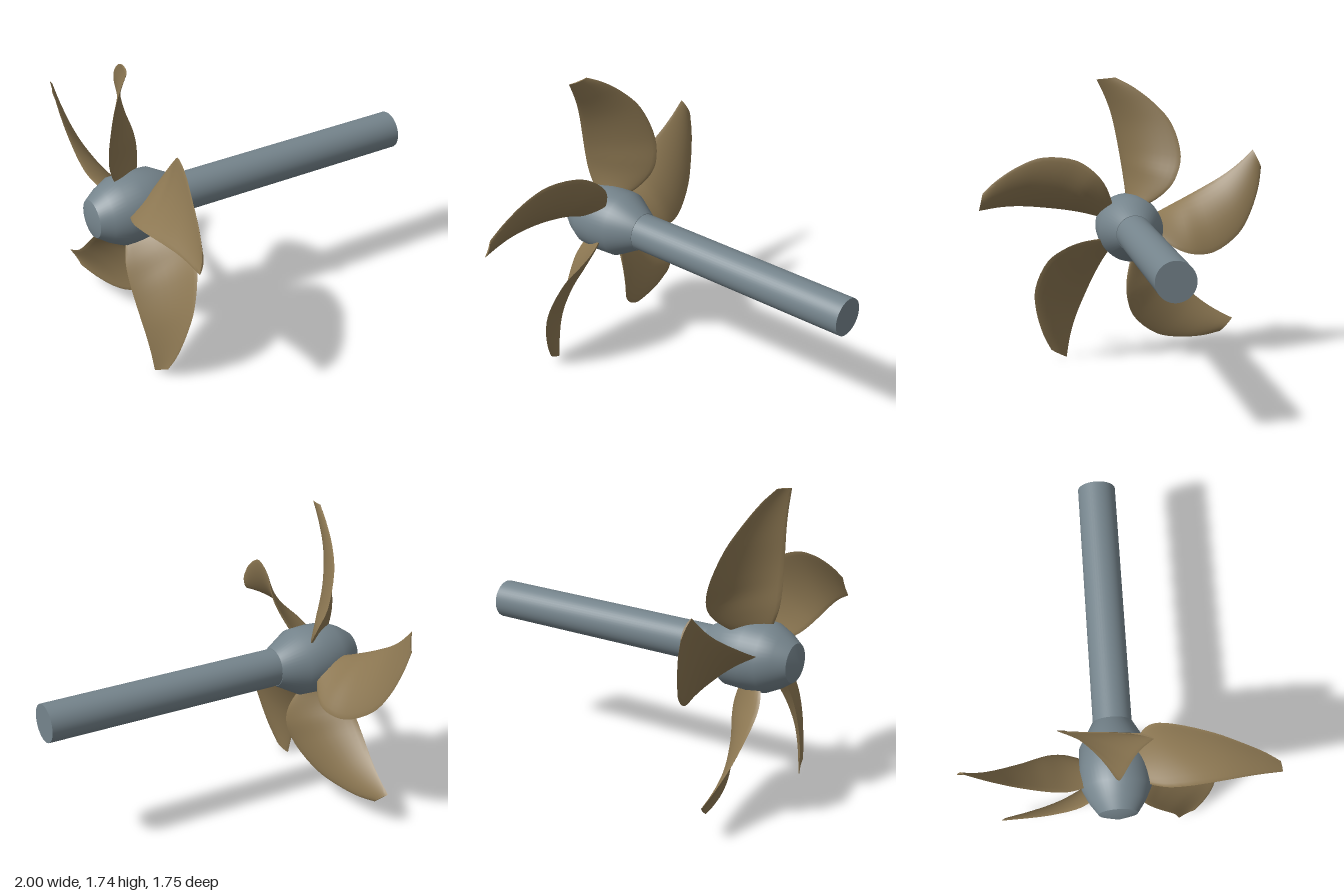
import * as THREE from 'three';
import { toCreasedNormals } from 'three/addons/utils/BufferGeometryUtils.js';

const AXIS_Y = 0.833, AXIS_Z = -0.03, BLADES = 5;

// Edge curves of the upright blade, [x, height above axis, z], root to tip
const edge = (pts) => new THREE.CatmullRomCurve3(pts.map((p) => new THREE.Vector3(...p)));
const trailing = edge([
  [-0.79, 0.12, 0], [-0.83, 0.2, 0.005], [-0.855, 0.29, 0.015], [-0.86, 0.39, 0.03], [-0.855, 0.5, 0.05],
  [-0.845, 0.62, 0.075], [-0.835, 0.71, 0.1], [-0.825, 0.8, 0.135], [-0.815, 0.897, 0.183],
]);
const leading = edge([
  [-0.67, 0.12, -0.06], [-0.61, 0.18, -0.15], [-0.575, 0.245, -0.22], [-0.57, 0.316, -0.267], [-0.605, 0.443, -0.304],
  [-0.67, 0.635, -0.258], [-0.715, 0.752, -0.164], [-0.755, 0.855, -0.033], [-0.785, 0.91, 0.07],
]);

// Lens-shaped, cambered sections lofted between the two edges
function bladeGeometry(rows = 32, ring = 24) {
  const pos = [], index = [];
  for (let i = 0; i <= rows; i++) {
    const t = i / rows;
    const a = trailing.getPoint(t), b = leading.getPoint(t);
    const chord = b.clone().sub(a);
    const span = trailing.getTangent(t).add(leading.getTangent(t));
    span.set(0, 1, 0).lerp(span.normalize(), 0.3);
    const normal = chord.clone().cross(span).normalize();
    const half = THREE.MathUtils.lerp(0.016, 0.005, t);
    const camber = 0.07 * chord.length();
    for (let j = 0; j < ring; j++) {
      const phi = (j / ring) * Math.PI * 2;
      const u = (1 - Math.cos(phi)) / 2;
      const p = a.clone().addScaledVector(chord, u)
        .addScaledVector(normal, half * Math.sin(phi) + camber * 4 * u * (1 - u));
      pos.push(p.x, p.y, p.z);
    }
  }
  for (let i = 0; i < rows; i++) {
    for (let j = 0; j < ring; j++) {
      const k = (j + 1) % ring;
      const p = i * ring + j, q = i * ring + k;
      index.push(p, q, q + ring, p, q + ring, p + ring);
    }
  }
  // Tip and root caps, stitched across the thin section
  const top = rows * ring;
  for (let j = 0; j < ring / 2; j++) {
    const m = (ring - j) % ring, n = ring - j - 1;
    index.push(top + j, top + j + 1, top + n, top + j, top + n, top + m);
    index.push(n, j + 1, j, m, n, j);
  }
  const g = new THREE.BufferGeometry();
  g.setAttribute('position', new THREE.Float32BufferAttribute(pos, 3));
  g.setIndex(index);
  return toCreasedNormals(g, 0.9);
}

// Surface of revolution along x from [x, radius] pairs
function turned(profile) {
  const g = new THREE.LatheGeometry(profile.map(([x, r]) => new THREE.Vector2(r, x)), 48);
  return toCreasedNormals(g.rotateZ(-Math.PI / 2), 0.6);
}

export function createModel() {
  const steel = new THREE.MeshStandardMaterial({ color: 0x75848c });
  steel.name = 'steel grey';
  const bronze = new THREE.MeshStandardMaterial({ color: 0x8c7752 });
  bronze.name = 'bronze';

  const model = new THREE.Group();
  model.name = 'propeller';
  const assembly = new THREE.Group();
  assembly.name = 'shaftLine';
  assembly.position.set(0, AXIS_Y, AXIS_Z);
  model.add(assembly);

  const add = (name, geometry, material) => {
    const mesh = new THREE.Mesh(geometry, material);
    mesh.name = name;
    assembly.add(mesh);
    return mesh;
  };

  // Hub with blunt nose, and the drive shaft behind it
  add('hub', turned([
    [-1, 0], [-0.967, 0.108], [-0.9, 0.155], [-0.82, 0.194], [-0.71, 0.2], [-0.59, 0.194], [-0.444, 0.112], [-0.444, 0],
  ]), steel);
  add('shaft', turned([[-0.46, 0], [-0.46, 0.109], [1, 0.109], [1, 0]]), steel);

  // Blades evenly spaced around the shaft
  const blade = bladeGeometry();
  for (let i = 0; i < BLADES; i++) {
    add('blade' + (i + 1), blade, bronze).rotation.x = (i / BLADES) * Math.PI * 2;
  }
  return model;
}
